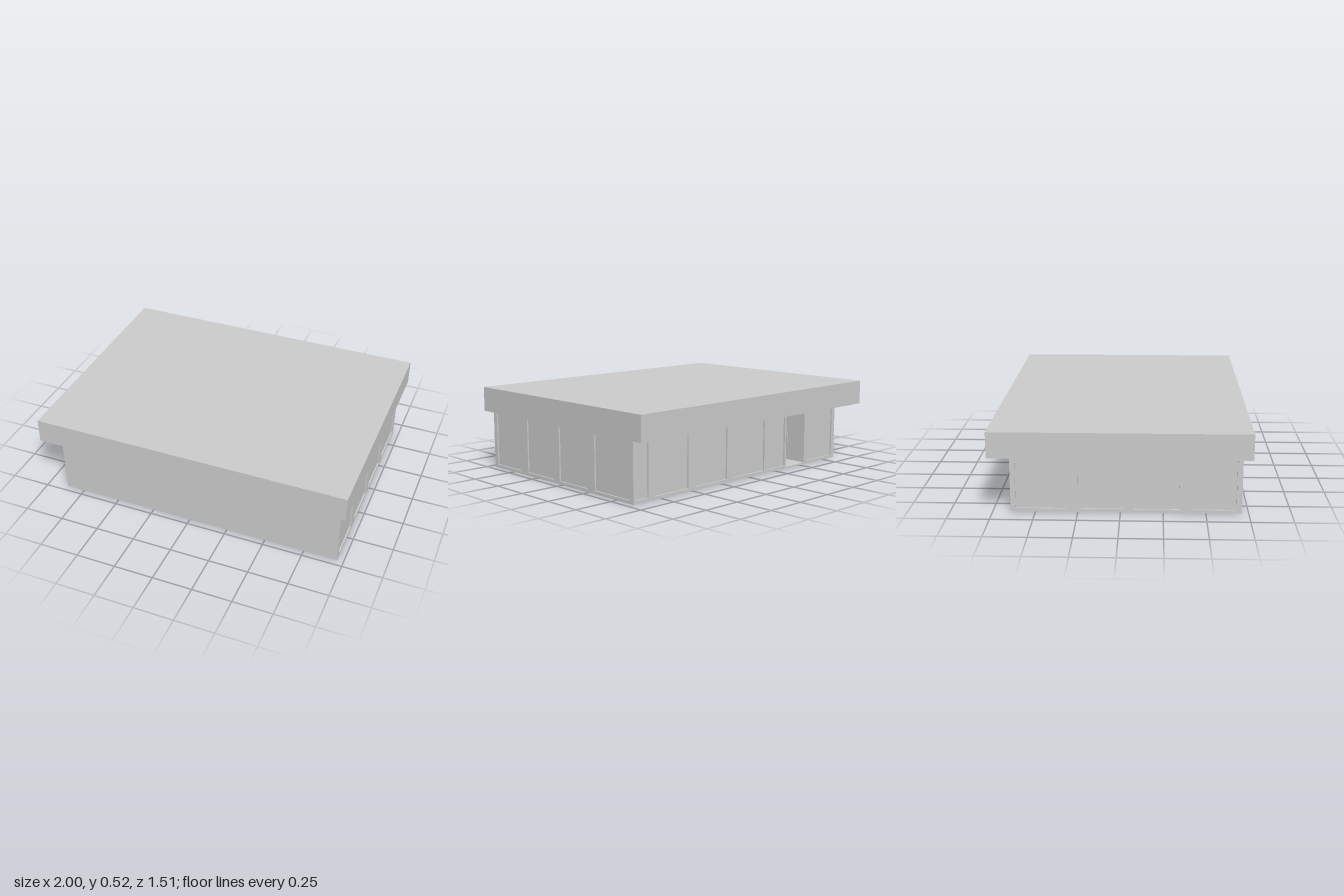
import * as THREE from 'three';

const X0 = -0.87, X1 = 0.96, Z0 = -0.645, Z1 = 0.71; // outer faces of the walls
const WALL_TOP = 0.372, ROOF_TOP = 0.525, THICK = 0.025;
const SILL = 0.02, HEAD = 0.352;

export function createModel() {
  const group = new THREE.Group();
  const material = new THREE.MeshStandardMaterial({ color: 0xcccccc, flatShading: true });

  function add(name, geometry) {
    const mesh = new THREE.Mesh(geometry, material);
    mesh.name = name;
    group.add(mesh);
    return mesh;
  }

  // Box given by its lower and upper limits
  function box(name, x0, x1, y0, y1, z0, z1) {
    const geometry = new THREE.BoxGeometry(x1 - x0, y1 - y0, z1 - z0);
    geometry.translate((x0 + x1) / 2, (y0 + y1) / 2, (z0 + z1) / 2);
    return add(name, geometry);
  }

  function rectangle(path, a, b, low, high) {
    path.moveTo(a, low);
    path.lineTo(b, low);
    path.lineTo(b, high);
    path.lineTo(a, high);
    path.closePath();
    return path;
  }

  // Wall sheet with rectangular openings [from, to, low, high]
  function wallGeometry(a, b, openings) {
    const shape = rectangle(new THREE.Shape(), a, b, 0.004, WALL_TOP);
    for (const [from, to, low = SILL, high = HEAD] of openings) {
      shape.holes.push(rectangle(new THREE.Path(), from, to, low, high));
    }
    return new THREE.ExtrudeGeometry(shape, { depth: THICK, bevelEnabled: false });
  }

  // Roof and floor slabs
  box('roof', -1, 1, 0.37, ROOF_TOP, -0.755, 0.755);
  box('floor', X0, X1, 0, 0.01, Z0, Z1);

  // Solid front wall
  box('frontWall', X0, X1, 0.004, WALL_TOP, Z1 - THICK, Z1);

  // Side walls, four glazed bays each
  const sideBays = [[-0.633, -0.31], [-0.248, 0.022], [0.079, 0.345], [0.418, 0.678]];
  for (const [side, outer, inner] of [['left', X1, X1 - THICK], ['right', X0, X0 + THICK]]) {
    const geometry = wallGeometry(Z0 + THICK, Z1 - THICK, sideBays.map(([a, b]) => [Math.max(a, Z0 + THICK + 0.004), b]));
    geometry.rotateY(-Math.PI / 2);
    geometry.translate(Math.max(outer, inner), 0, 0);
    add(side + 'Wall', geometry);
    const middle = (outer + inner) / 2;
    for (const [a, b] of sideBays) {
      box(side + 'Glass', middle - 0.003, middle + 0.003, SILL, HEAD, a, b);
    }
  }

  // Back wall: glazed bays and an open doorway
  const backBays = [[0.846, 0.95], [0.53, 0.8], [0.2, 0.469], [-0.145, 0.142], [-0.345, -0.165], [-0.84, -0.57]];
  const door = [-0.545, -0.36, 0.01, 0.366];
  const back = wallGeometry(X0, X1, [...backBays, door]);
  back.translate(0, 0, Z0);
  add('backWall', back);
  for (const [a, b] of backBays) {
    box('backGlass', a, b, SILL, HEAD, Z0 + 0.011, Z0 + 0.017);
  }

  // Door leaf swung inwards
  box('doorLeaf', -0.557, -0.545, 0.012, 0.364, Z0 + THICK, Z0 + 0.235);

  // Pull handle beside the doorway
  const handle = new THREE.CylinderGeometry(0.005, 0.005, 0.07, 8);
  handle.translate(-0.352, 0.205, Z0 - 0.012);
  add('doorHandle', handle);
  for (const y of [0.18, 0.23]) {
    box('handleMount', -0.355, -0.349, y - 0.003, y + 0.003, Z0 - 0.012, Z0 + 0.002);
  }

  return group;
}
